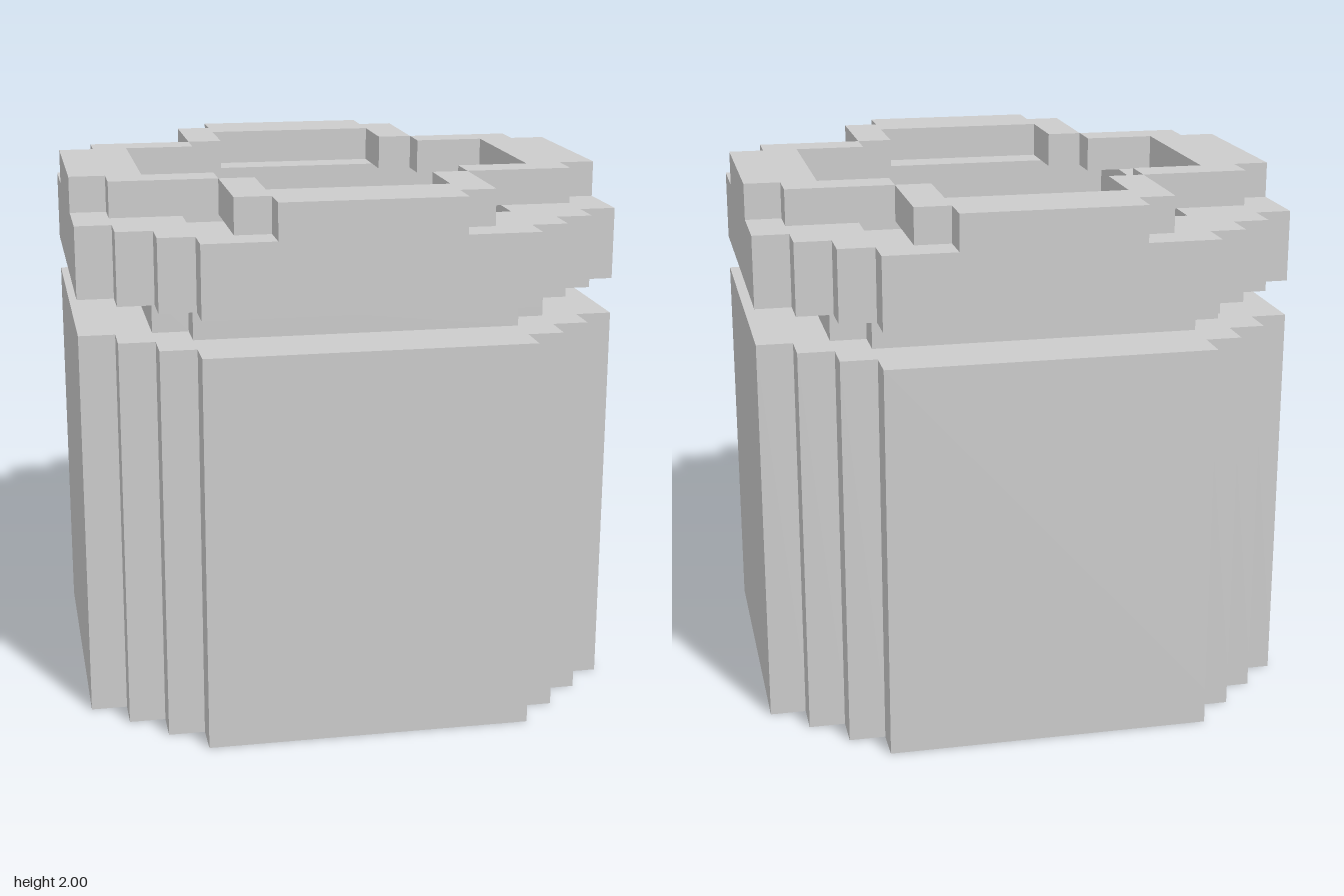
import * as THREE from 'three';

const U = 2 / 15; // size of one block

export function createModel() {
  const model = new THREE.Group();
  model.name = 'blockJar';
  const stone = new THREE.MeshStandardMaterial({ color: 0xcccccc });
  stone.name = 'stoneGrey';

  const toVectors = (points) => points.map(([x, y]) => new THREE.Vector2(x * U, y * U));

  // Upright slab from a plan outline; all sizes are in blocks
  function slab(name, outline, bottom, top, hole) {
    const shape = new THREE.Shape(toVectors(outline));
    if (hole) shape.holes.push(new THREE.Path(toVectors(hole)));
    const geometry = new THREE.ExtrudeGeometry(shape, { depth: (top - bottom) * U, bevelEnabled: false });
    geometry.rotateX(-Math.PI / 2);
    geometry.translate(0, bottom * U, 0);
    const mesh = new THREE.Mesh(geometry, stone);
    mesh.name = name;
    return mesh;
  }

  // Repeat a corner or side outline by quarter turns
  function quarterTurns(points) {
    const all = [];
    for (let i = 0; i < 4; i++) {
      for (const [x, y] of points) {
        all.push([[x, y], [-y, x], [-x, -y], [y, -x]][i]);
      }
    }
    return all;
  }

  const stepped = quarterTurns([
    [7.5, 4.5], [6.5, 4.5], [6.5, 5.5], [5.5, 5.5], [5.5, 6.5], [4.5, 6.5], [4.5, 7.5],
  ]);
  const square = quarterTurns([[4.5, 4.5]]);

  // Hollow body and shoulder ring around a square cavity
  model.add(slab('floor', stepped, 0, 1));
  model.add(slab('bodyWall', stepped, 1, 11, square));
  model.add(slab('shoulderRing', stepped, 12, 14, square));

  // Neck plates and rim pieces, one for each side
  const neckPlate = [[-4.5, -5.5], [4.5, -5.5], [4.5, -4.5], [-4.5, -4.5]];
  const rimHalf = [[2.5, -7.5], [2.5, -6.5], [3.5, -6.5], [3.5, -3.5], [2.5, -3.5], [2.5, -5.5]];
  const rimPiece = [...rimHalf, ...rimHalf.map(([x, y]) => [-x, y]).reverse()];
  for (let i = 0; i < 4; i++) {
    const neck = slab('neckPlate', neckPlate, 11, 12);
    const rim = slab('rimPiece', rimPiece, 14, 15);
    neck.rotation.y = rim.rotation.y = (i * Math.PI) / 2;
    model.add(neck, rim);
  }
  return model;
}
